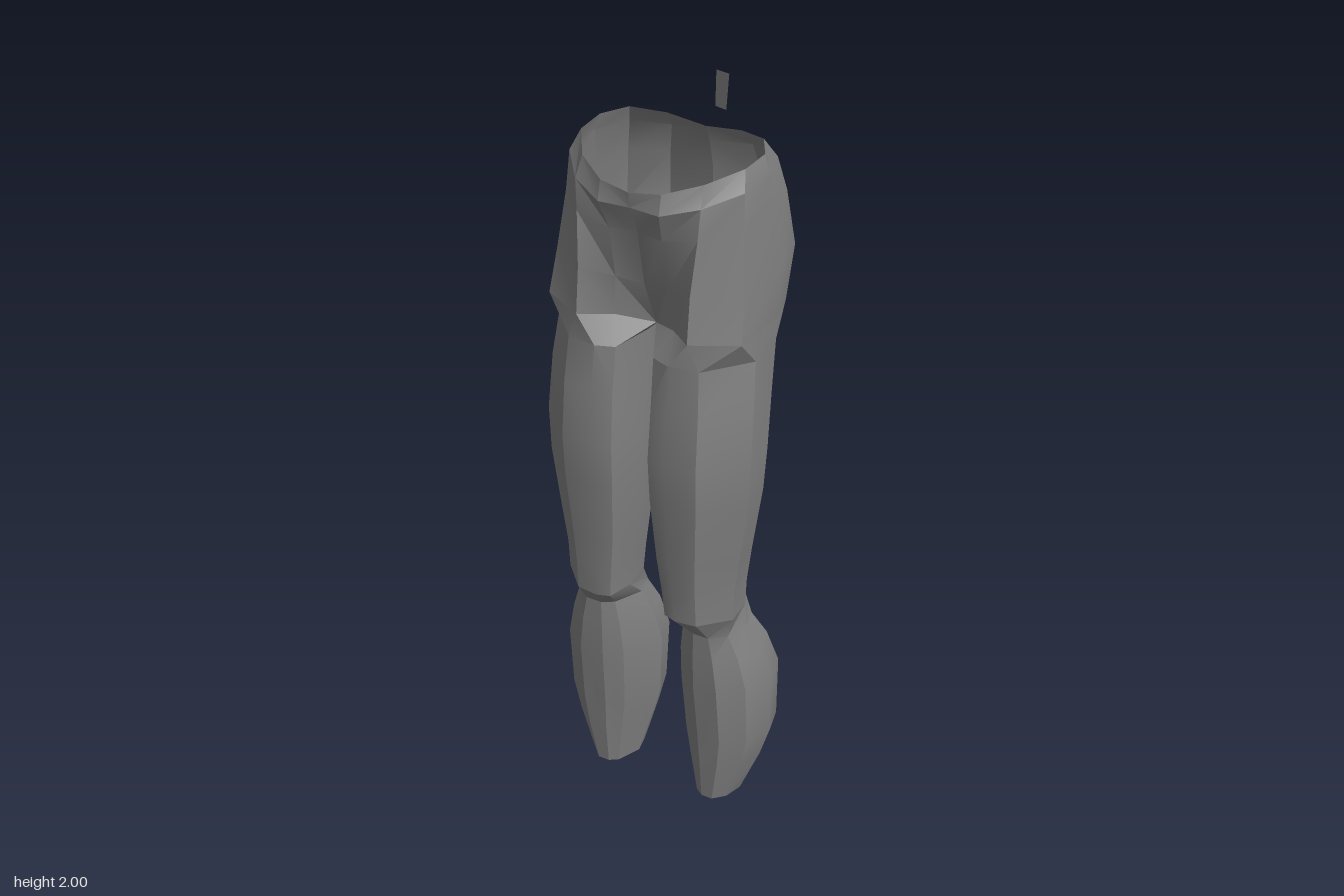
import * as THREE from 'three';
import { toCreasedNormals } from 'three/addons/utils/BufferGeometryUtils.js';

// Unit outlines [across, depth], from the front inner corner around the outside to the inner side
const THIGH = [[.1, .95], [.3, 1], [.62, .97], [1, .66], [.97, .33], [.78, .08], [.5, 0], [.22, .05], [.03, .3], [0, .65]];
const CALF = [[.22, .9], [.4, 1], [.65, 1], [.88, .82], [1, .5], [.93, .2], [.65, 0], [.35, 0], [.08, .2], [0, .5]];

// Leg sections: y, inner x, outer x, back z, front z
const CALF_ROWS = [
  [0, .095, .22, -.06, .1], [.13, .06, .27, -.1, .112], [.22, .038, .296, -.117, .118],
  [.4, .028, .298, -.122, .135], [.5, .045, .272, -.09, .137], [.57, .068, .24, -.05, .137],
];
const THIGH_ROWS = [
  [.64, .062, .24, -.035, .195], [.72, .055, .243, -.04, .2], [.82, .042, .256, -.045, .208],
  [1, .028, .28, -.065, .224], [1.12, .025, .285, -.08, .23], [1.27, .028, .28, -.11, .217],
  [1.39, .027, .27, -.155, .203],
];

// Section where the leg meets the trunk; the last two points close the crotch
const CROTCH = [[0, 1.42, .08], [.08, 1.45, .14], [.15, 1.46, .2], [.262, 1.46, .14], [.265, 1.45, -.03],
  [.235, 1.44, -.14], [.12, 1.43, -.2], [0, 1.43, -.13], [0, 1.4, -.05], [0, 1.41, .02]];

// Half sections of the trunk, front centre to back centre
const TRUNK = [
  [[0, 1.55, .135], [.07, 1.56, .15], [.15, 1.58, .187], [.253, 1.58, .11],
    [.257, 1.58, -.08], [.233, 1.57, -.185], [.135, 1.57, -.23], [0, 1.57, -.2]],
  [[0, 1.7, .165], [.07, 1.7, .175], [.16, 1.72, .17], [.238, 1.72, .09],
    [.245, 1.72, -.06], [.217, 1.72, -.165], [.125, 1.72, -.212], [0, 1.72, -.197]],
  [[0, 1.78, .2], [.08, 1.78, .207], [.165, 1.8, .165], [.232, 1.82, .08],
    [.235, 1.82, -.04], [.2, 1.81, -.145], [.11, 1.8, -.192], [0, 1.79, -.18]],
  [[0, 1.82, .205], [.08, 1.83, .195], [.16, 1.85, .14], [.217, 1.865, .05],
    [.22, 1.865, -.04], [.18, 1.865, -.11], [.1, 1.85, -.152], [0, 1.835, -.16]],
];

const section = (outline, [y, x0, x1, z0, z1]) =>
  outline.map(([u, v]) => [x0 + u * (x1 - x0), y, z0 + v * (z1 - z0)]);

// Skin a stack of sections; side = -1 builds the mirrored half
function loft(rings, closed, side) {
  const n = rings[0].length, index = [];
  const points = rings.flat().flatMap(([x, y, z]) => [x * side, y, z]);
  for (let r = 0; r < rings.length - 1; r++) {
    for (let i = 0; i < (closed ? n : n - 1); i++) {
      const a = r * n + i, b = r * n + (i + 1) % n, c = b + n, d = a + n;
      index.push(...(side > 0 ? [a, b, c, a, c, d] : [a, c, b, a, d, c]));
    }
  }
  const geometry = new THREE.BufferGeometry();
  geometry.setAttribute('position', new THREE.Float32BufferAttribute(points, 3));
  geometry.setIndex(index);
  return toCreasedNormals(geometry, 0.45);
}

export function createModel() {
  const model = new THREE.Group();
  model.name = 'legs';
  const grey = new THREE.MeshStandardMaterial({ color: 0x808080, side: THREE.DoubleSide });
  grey.name = 'grey';
  const add = (name, geometry) => {
    const mesh = new THREE.Mesh(geometry, grey);
    mesh.name = name;
    model.add(mesh);
  };

  const calf = CALF_ROWS.map(row => section(CALF, row));
  const thigh = THIGH_ROWS.map(row => section(THIGH, row));
  for (const [label, side] of [['left', 1], ['right', -1]]) {
    add(label + 'Calf', loft([...calf, thigh[0]], true, side));
    add(label + 'Thigh', loft([...thigh, CROTCH], true, side));
    add(label + 'Hip', loft([CROTCH.slice(0, 8), ...TRUNK], false, side));
  }

  // Small loose tab above the back of the waist
  add('tab', loft([
    [[.033, 1.9, -.145], [.066, 1.9, -.138]],
    [[.043, 2, -.13], [.08, 2, -.124]],
  ], false, 1));
  return model;
}
